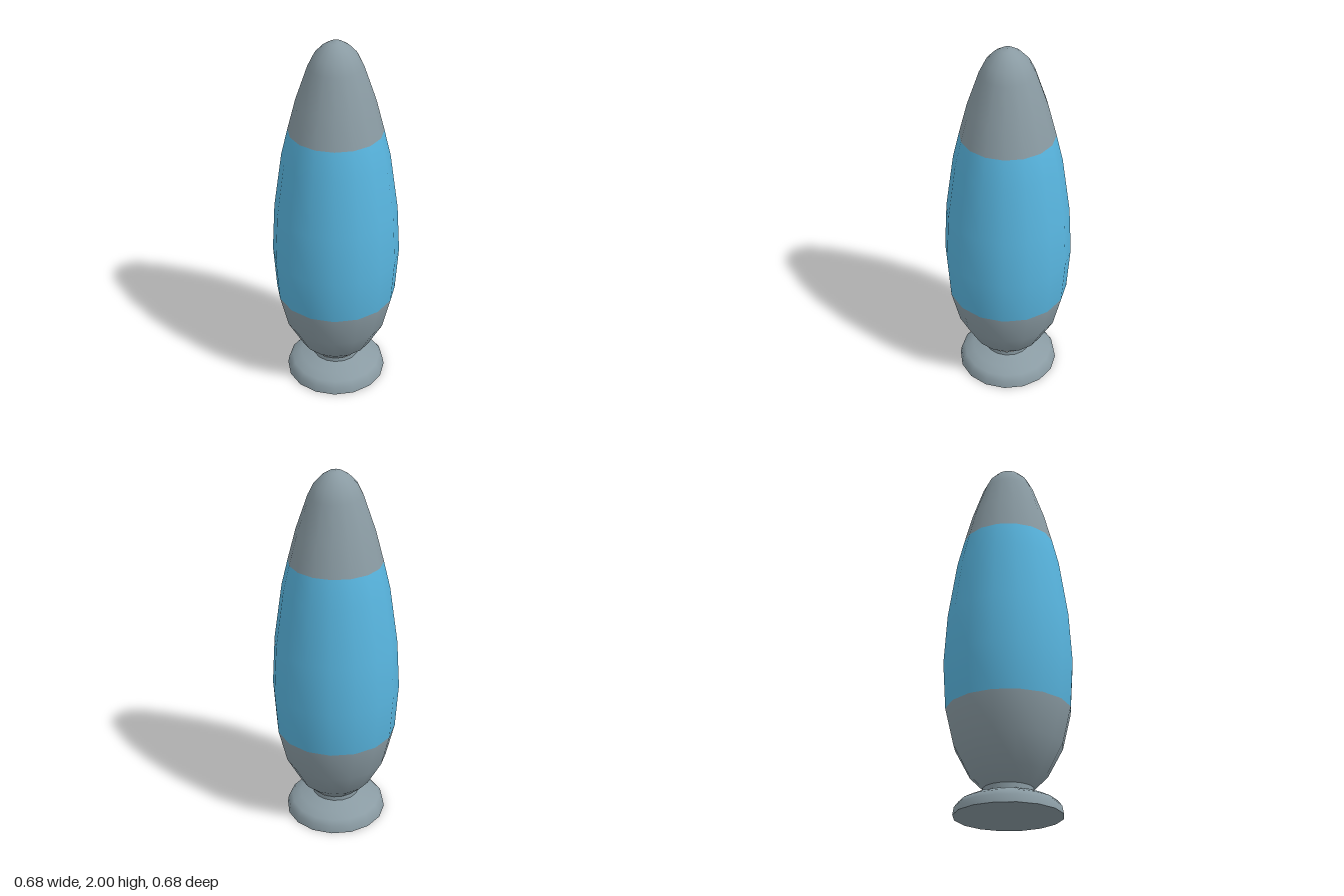
import * as THREE from 'three';

const SIDES = 16;
const lathe = (pts) => new THREE.LatheGeometry(pts.map(([r, y]) => new THREE.Vector2(r, y)), SIDES);

export function createModel() {
  const grey = new THREE.MeshStandardMaterial({ color: 0x8a9ba3 });
  grey.name = 'metal grey';
  const blue = new THREE.MeshStandardMaterial({ color: 0x58b5df });
  blue.name = 'glass blue';

  const model = new THREE.Group();
  model.name = 'lavaLamp';
  const add = (name, geometry, material) => {
    const mesh = new THREE.Mesh(geometry, material);
    mesh.name = name;
    model.add(mesh);
    return mesh;
  };

  // Rounded foot with a flat underside
  add('foot', lathe([[0.277, 0], [0.27, 0.04], [0.248, 0.068], [0.2, 0.092], [0.13, 0.115]]), grey);
  const underside = add('footUnderside', new THREE.CircleGeometry(0.277, SIDES), grey);
  underside.rotation.x = Math.PI / 2;

  // Short neck between foot and body
  add('neck', lathe([[0.13, 0.11], [0.13, 0.14]]), grey);

  // Tapered body: one smooth shell, grey at both ends and blue between
  const profile = [
    [0.12, 0.132], [0.2, 0.21], [0.28, 0.36], [0.325, 0.55], [0.341, 0.8],
    [0.325, 1.07], [0.28, 1.38], [0.245, 1.525], [0.202, 1.69], [0.14, 1.87],
    [0.11, 1.93], [0.07, 1.972], [0.035, 1.994], [0, 2],
  ];
  const glassStart = 3, glassEnd = 7, rows = profile.length - 1;
  const body = lathe(profile);
  for (let i = 0; i < SIDES; i++) {
    const group = (from, to, material) => body.addGroup((i * rows + from) * 6, (to - from) * 6, material);
    group(0, glassStart, 0);
    group(glassStart, glassEnd, 1);
    group(glassEnd, rows, 0);
  }
  add('body', body, [grey, blue]);

  return model;
}
